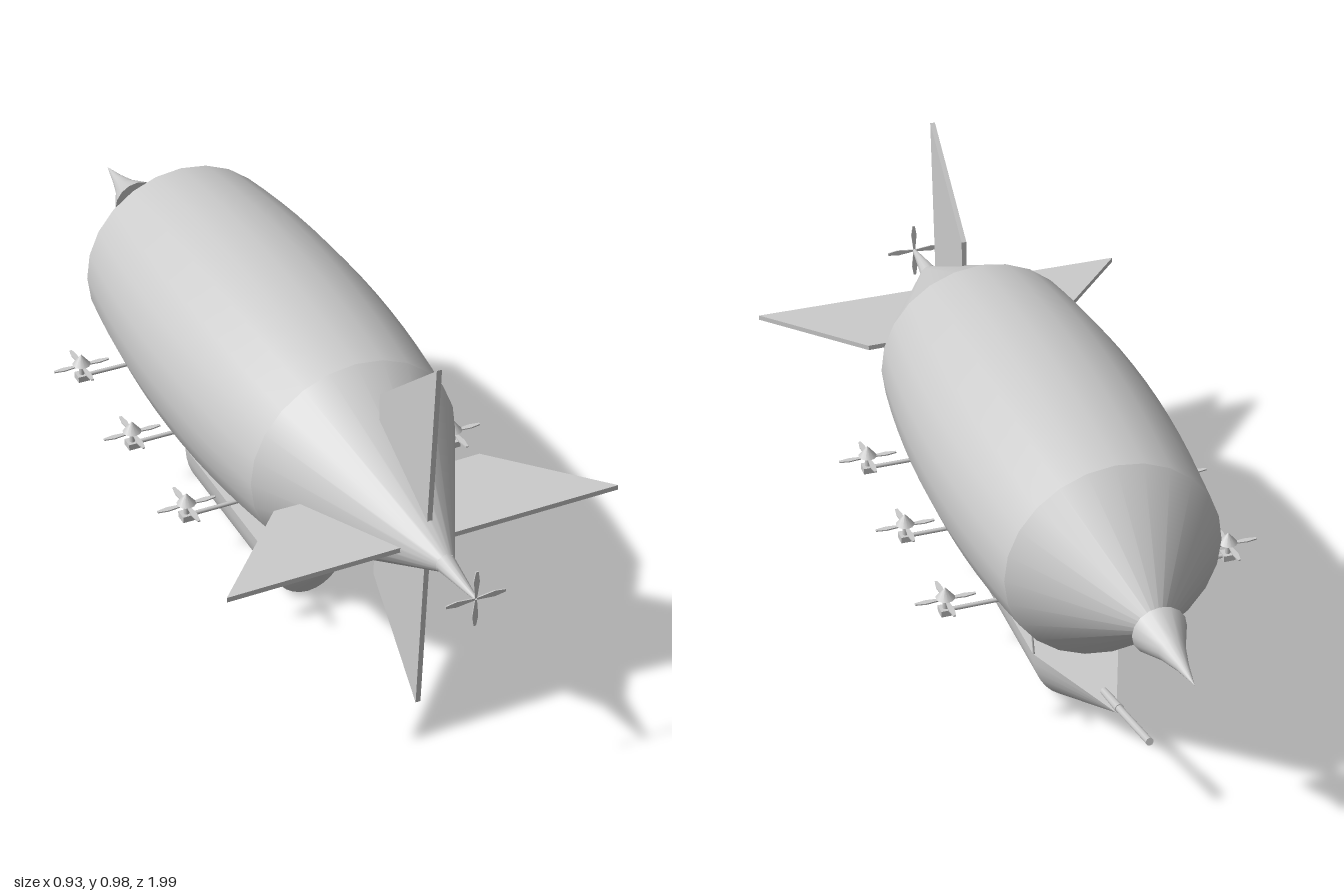
import * as THREE from 'three';
import { toCreasedNormals } from 'three/addons/utils/BufferGeometryUtils.js';

const material = new THREE.MeshStandardMaterial({ color: 0xcccccc, side: THREE.DoubleSide });
const AXIS_Y = 0.532; // height of the envelope's long axis

function add(parent, name, geometry, x = 0, y = 0, z = 0) {
  const mesh = new THREE.Mesh(geometry, material);
  mesh.name = name;
  mesh.position.set(x, y, z);
  parent.add(mesh);
  return mesh;
}

// Surface of revolution around z from [z, radius] pairs
function turned(profile, sides = 24) {
  const points = profile.map(([z, r]) => new THREE.Vector2(r, z));
  return new THREE.LatheGeometry(points, sides).rotateX(Math.PI / 2);
}

// Flat plate, centred on its thickness
function plate(outline, thickness) {
  const shape = new THREE.Shape(outline.map(([x, y]) => new THREE.Vector2(x, y)));
  return new THREE.ExtrudeGeometry(shape, { depth: thickness, bevelEnabled: false })
    .translate(0, 0, -thickness / 2);
}

// Round bar between two points
function bar(parent, name, from, to, r0, r1 = r0, sides = 8) {
  const a = new THREE.Vector3(...from), b = new THREE.Vector3(...to);
  const dir = b.clone().sub(a);
  const mesh = add(parent, name, new THREE.CylinderGeometry(r1, r0, dir.length(), sides));
  mesh.position.copy(a).add(b).multiplyScalar(0.5);
  mesh.quaternion.setFromUnitVectors(new THREE.Vector3(0, 1, 0), dir.normalize());
  return mesh;
}

// Four leaf-shaped blades in the xy plane
function propeller(name) {
  const group = new THREE.Group();
  group.name = name;
  const leaf = [[0, -0.002], [0.045, -0.007], [0.07, -0.003], [0.07, 0.003], [0.045, 0.007], [0, 0.002]];
  for (let i = 0; i < 4; i++) {
    add(group, 'blade', plate(leaf, 0.003)).rotation.z = i * Math.PI / 2;
  }
  return group;
}

// Boat hull: half-ellipse sections with a flat deck, narrowing to a point at each end
function hullGeometry() {
  const stations = [[-0.54, 0.005], [-0.27, 1], [0.205, 1], [0.31, 0.005]];
  const steps = 16, ring = steps + 1;
  const positions = [], index = [];
  for (const [z, s] of stations) {
    for (let i = 0; i <= steps; i++) {
      const t = Math.PI * i / steps;
      positions.push(0.105 * s * Math.cos(t), 0.14 - 0.14 * s * Math.sin(t), z);
    }
  }
  for (let k = 0; k < stations.length - 1; k++) {
    for (let i = 0; i < ring; i++) {
      const j = (i + 1) % ring; // last strip closes the deck
      const a = k * ring + i, b = k * ring + j, c = a + ring, d = b + ring;
      index.push(a, c, b, b, c, d);
    }
  }
  const geometry = new THREE.BufferGeometry();
  geometry.setAttribute('position', new THREE.Float32BufferAttribute(positions, 3));
  geometry.setIndex(index);
  return toCreasedNormals(geometry, 0.6);
}

export function createModel() {
  const model = new THREE.Group();
  model.name = 'airship';

  // Envelope: bulged middle between two cones, slightly wider than tall
  const envelope = new THREE.Group();
  envelope.name = 'envelope';
  envelope.position.y = AXIS_Y;
  envelope.scale.x = 1.03;
  model.add(envelope);
  const middle = [];
  for (let i = 0; i <= 12; i++) {
    const u = i / 6 - 1;
    middle.push([-0.04 + 0.47 * u, 0.278 - 0.034 * u * u]);
  }
  add(envelope, 'envelopeMiddle', turned(middle));
  add(envelope, 'noseCone', turned([[-0.79, 0.005], [-0.51, 0.244]]));
  add(envelope, 'tailCone', turned([[0.43, 0.244], [0.857, 0.022]]));
  add(envelope, 'tailSpike', turned([[0.857, 0.022], [0.99, 0.004], [0.995, 0]], 12));
  add(envelope, 'noseSpike', turned([[-0.99, 0], [-0.92, 0.014], [-0.86, 0.03], [-0.787, 0.06]], 16));
  add(envelope, 'noseSpikeBase', turned([[-0.787, 0.06], [-0.787, 0]], 16));

  // Tail fins
  const upper = [[0.555, AXIS_Y], [0.78, AXIS_Y], [0.80, 0.982], [0.555, 0.775]];
  const lower = [[0.555, AXIS_Y], [0.545, 0.29], [0.76, 0.082], [0.78, AXIS_Y]];
  add(model, 'upperFin', plate(upper, 0.012).rotateY(-Math.PI / 2));
  add(model, 'lowerFin', plate(lower, 0.012).rotateY(-Math.PI / 2));
  for (const s of [1, -1]) {
    const side = [[0, 0.55], [0.25 * s, 0.545], [0.466 * s, 0.777], [0, 0.777]];
    add(model, s > 0 ? 'leftFin' : 'rightFin', plate(side, 0.012).rotateX(Math.PI / 2), 0, AXIS_Y, 0);
  }

  // Tail propeller
  const tailPropeller = propeller('tailPropeller');
  tailPropeller.position.set(0, AXIS_Y, 0.99);
  model.add(tailPropeller);

  // Side lift rotors on outrigger arms
  for (const s of [1, -1]) {
    for (const z of [-0.35, -0.04, 0.27]) {
      const rotor = new THREE.Group();
      rotor.name = s > 0 ? 'leftRotor' : 'rightRotor';
      rotor.position.set(0.336 * s, 0, z);
      model.add(rotor);
      bar(rotor, 'arm', [-0.136 * s, 0.37, 0], [0, 0.37, 0], 0.005);
      add(rotor, 'mount', new THREE.BoxGeometry(0.028, 0.015, 0.028), 0, 0.369, 0);
      bar(rotor, 'mast', [0, 0.375, 0], [0, 0.405, 0], 0.007);
      add(rotor, 'cap', new THREE.ConeGeometry(0.022, 0.027, 12), 0, 0.417, 0);
      const blades = propeller('rotorBlades');
      blades.rotation.x = Math.PI / 2;
      blades.position.y = 0.4;
      rotor.add(blades);
    }
  }

  // Gondola with cabin, suspension lines and bow gun
  add(model, 'hull', hullGeometry());
  add(model, 'cabin', new THREE.BoxGeometry(0.112, 0.072, 0.28), 0, 0.175, 0.1);
  for (const s of [1, -1]) {
    for (const z of [0.21, -0.27]) {
      bar(model, 'suspensionLine', [0.102 * s, 0.13, z], [0.114 * s, 0.3, z], 0.0025, 0.0025, 6);
    }
  }
  bar(model, 'gunBreech', [0, 0.143, -0.46], [0, 0.165, -0.56], 0.009, 0.011, 10);
  bar(model, 'gunBarrel', [0, 0.16, -0.54], [0, 0.21, -0.748], 0.009, 0.009, 10);

  return model;
}
